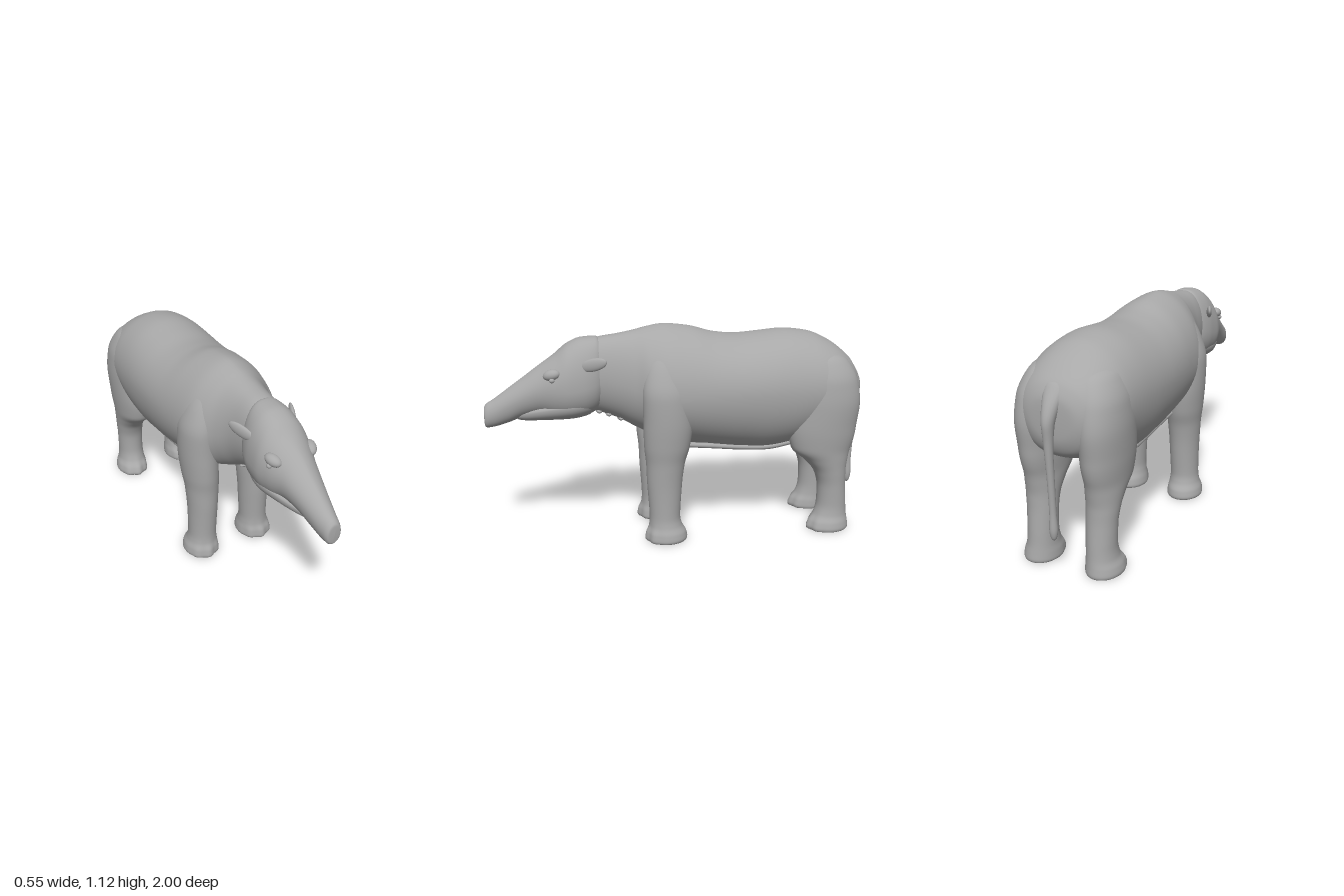
import * as THREE from 'three';

const hide = new THREE.MeshStandardMaterial({ color: 0xa8a8a8 });
hide.name = 'grey hide';

// Smooth interpolation between section rows without overshoot
function sample(rows, t) {
  const i = Math.min(Math.floor(t), rows.length - 2), f = t - i;
  const slope = (j, k) => (j < 0 || j > rows.length - 2 ? 0 : rows[j + 1][k] - rows[j][k]);
  const tangent = (j, k) => {
    const a = slope(j - 1, k), b = slope(j, k);
    if (j === 0) return b;
    if (j === rows.length - 1) return a;
    return a * b <= 0 ? 0 : (2 * a * b) / (a + b);
  };
  return rows[0].map((_, k) => {
    const p = rows[i][k], q = rows[i + 1][k], m = tangent(i, k), n = tangent(i + 1, k);
    const f2 = f * f, f3 = f2 * f;
    return p * (2 * f3 - 3 * f2 + 1) + m * (f3 - 2 * f2 + f) + q * (3 * f2 - 2 * f3) + n * (f3 - f2);
  });
}

// Skin a closed surface over the section rows
function loft(name, rows, point, steps = 6, segs = 48) {
  const pos = [], idx = [], n = (rows.length - 1) * steps;
  for (let i = 0; i <= n; i++) {
    const row = sample(rows, i / steps);
    for (let j = 0; j < segs; j++) pos.push(...point(row, (j / segs) * Math.PI * 2));
  }
  for (let i = 0; i < n; i++) {
    for (let j = 0; j < segs; j++) {
      const a = i * segs + j, b = i * segs + ((j + 1) % segs);
      idx.push(a, b, a + segs, b, b + segs, a + segs);
    }
  }
  const geo = new THREE.BufferGeometry();
  geo.setAttribute('position', new THREE.Float32BufferAttribute(pos, 3));
  geo.setIndex(idx);
  geo.computeVertexNormals();
  const mesh = new THREE.Mesh(geo, hide);
  mesh.name = name;
  return mesh;
}

const power = (v, e) => Math.sign(v) * Math.pow(Math.abs(v), e);

// Upright section, row: z, top, bottom, half width, height of widest point, roundness above and below
const upright = ([z, top, bot, w, mid, eT, eB], a) => {
  const c = Math.cos(a), s = Math.sin(a), e = s > 0 ? eT : eB;
  return [w * power(c, e), mid + (s > 0 ? top - mid : mid - bot) * s, z];
};

// Level section, row: y, x, z, radius in x, radius in z, toe scallop
const level = (side) => ([y, x, z, rx, rz, toe], a) => {
  const k = 1 + toe * Math.cos(8 * a) * Math.max(0, -Math.sin(a));
  return [side * x + rx * k * Math.cos(a), y, z - rz * k * Math.sin(a)];
};

function ellipsoid(name, size, position, direction) {
  const mesh = new THREE.Mesh(new THREE.SphereGeometry(1, 24, 16), hide);
  mesh.name = name;
  mesh.scale.set(...size);
  mesh.position.set(...position);
  if (direction) mesh.lookAt(new THREE.Vector3(...position).add(new THREE.Vector3(...direction)));
  return mesh;
}

function fold(name, points, radius) {
  const curve = new THREE.CatmullRomCurve3(points.map((p) => new THREE.Vector3(...p)));
  const mesh = new THREE.Mesh(new THREE.TubeGeometry(curve, 32, radius, 10), hide);
  mesh.name = name;
  return mesh;
}

export function createModel() {
  const model = new THREE.Group();
  model.name = 'trunked animal';

  // Trunk of the body, from rump to neck
  model.add(loft('body', [
    [-0.945, 0.79, 0.75, 0.0, 0.77, 1, 1],
    [-0.94, 0.85, 0.67, 0.10, 0.76, 0.9, 0.9],
    [-0.915, 0.91, 0.60, 0.17, 0.76, 0.9, 0.9],
    [-0.86, 0.965, 0.56, 0.225, 0.76, 0.9, 0.9],
    [-0.78, 1.02, 0.54, 0.252, 0.77, 0.95, 0.9],
    [-0.68, 1.06, 0.50, 0.265, 0.78, 1, 0.9],
    [-0.55, 1.075, 0.455, 0.272, 0.78, 1, 0.9],
    [-0.42, 1.065, 0.44, 0.275, 0.78, 1, 0.95],
    [-0.3, 1.057, 0.448, 0.274, 0.78, 1, 1],
    [-0.18, 1.07, 0.465, 0.27, 0.78, 1.05, 1],
    [-0.05, 1.105, 0.49, 0.262, 0.78, 1.15, 1],
    [0.08, 1.12, 0.52, 0.25, 0.78, 1.2, 1],
    [0.17, 1.107, 0.555, 0.215, 0.79, 1.15, 1],
    [0.24, 1.09, 0.59, 0.165, 0.81, 1, 1],
    [0.32, 1.075, 0.635, 0.132, 0.84, 0.9, 1],
    [0.42, 1.06, 0.675, 0.115, 0.86, 0.85, 1],
    [0.5, 1.02, 0.70, 0.10, 0.86, 1, 1],
    [0.52, 0.88, 0.84, 0, 0.86, 1, 1],
  ], upright, 6, 64));

  // Head tapering into the short drooping trunk
  model.add(loft('head', [
    [0.395, 0.9, 0.86, 0.0, 0.88, 1, 1],
    [0.40, 1.03, 0.74, 0.09, 0.87, 0.8, 0.9],
    [0.43, 1.066, 0.69, 0.122, 0.84, 0.8, 0.85],
    [0.5, 1.062, 0.662, 0.142, 0.82, 0.85, 0.8],
    [0.57, 1.035, 0.655, 0.145, 0.81, 0.9, 0.8],
    [0.64, 0.98, 0.66, 0.13, 0.81, 1, 0.85],
    [0.72, 0.925, 0.675, 0.10, 0.80, 1.15, 1],
    [0.8, 0.867, 0.665, 0.08, 0.77, 1.2, 1],
    [0.88, 0.81, 0.638, 0.063, 0.73, 1.15, 0.9],
    [0.95, 0.76, 0.619, 0.05, 0.69, 1, 0.9],
    [0.985, 0.738, 0.615, 0.042, 0.675, 1, 0.9],
    [0.997, 0.72, 0.625, 0.032, 0.67, 1, 1],
    [1.0, 0.68, 0.66, 0, 0.67, 1, 1],
  ], upright));

  // Lower jaw
  model.add(loft('jaw', [
    [0.44, 0.74, 0.72, 0, 0.73, 1, 1],
    [0.46, 0.78, 0.672, 0.10, 0.74, 1, 0.9],
    [0.56, 0.78, 0.65, 0.128, 0.73, 1, 0.8],
    [0.68, 0.75, 0.646, 0.098, 0.71, 1, 0.8],
    [0.78, 0.72, 0.645, 0.06, 0.69, 1, 0.8],
    [0.83, 0.70, 0.65, 0.035, 0.68, 1, 1],
    [0.85, 0.68, 0.67, 0, 0.675, 1, 1],
  ], upright));

  // Tail
  model.add(loft('tail', [
    [0.192, 0, -0.956, 0, 0, 0],
    [0.205, 0, -0.956, 0.012, 0.012, 0],
    [0.25, 0, -0.956, 0.02, 0.02, 0],
    [0.34, 0, -0.957, 0.016, 0.016, 0],
    [0.5, 0, -0.962, 0.017, 0.018, 0],
    [0.65, 0, -0.968, 0.021, 0.022, 0],
    [0.74, 0, -0.966, 0.027, 0.032, 0],
    [0.83, 0, -0.93, 0.042, 0.044, 0],
    [0.91, 0, -0.875, 0.06, 0.045, 0],
    [0.95, 0, -0.84, 0, 0, 0],
  ], level(1), 6, 20));

  for (const side of [1, -1]) {
    const s = side > 0 ? 'left' : 'right';

    // Front leg with shoulder and toed foot
    model.add(loft(s + 'FrontLeg', [
      [0.004, 0.167, 0.095, 0, 0, 0],
      [0.004, 0.167, 0.095, 0.084, 0.1, 0.04],
      [0.02, 0.167, 0.095, 0.094, 0.109, 0.045],
      [0.05, 0.166, 0.096, 0.09, 0.104, 0.04],
      [0.09, 0.162, 0.1, 0.079, 0.086, 0.01],
      [0.14, 0.16, 0.103, 0.074, 0.08, 0],
      [0.3, 0.157, 0.103, 0.078, 0.09, 0],
      [0.42, 0.157, 0.098, 0.085, 0.1, 0],
      [0.52, 0.163, 0.09, 0.092, 0.118, 0],
      [0.64, 0.17, 0.085, 0.095, 0.126, 0],
      [0.78, 0.175, 0.09, 0.09, 0.125, 0],
      [0.9, 0.155, 0.095, 0.075, 0.105, 0],
      [1.0, 0.115, 0.09, 0.055, 0.08, 0],
      [1.05, 0.09, 0.08, 0, 0, 0],
    ], level(side)));

    // Hind leg with heavy thigh
    model.add(loft(s + 'HindLeg', [
      [0.004, 0.167, -0.79, 0, 0, 0],
      [0.004, 0.167, -0.79, 0.083, 0.105, 0.04],
      [0.02, 0.167, -0.79, 0.09, 0.113, 0.045],
      [0.05, 0.165, -0.793, 0.086, 0.106, 0.04],
      [0.09, 0.16, -0.803, 0.075, 0.09, 0.01],
      [0.15, 0.158, -0.808, 0.071, 0.08, 0],
      [0.25, 0.158, -0.803, 0.073, 0.076, 0],
      [0.33, 0.16, -0.79, 0.078, 0.086, 0],
      [0.4, 0.16, -0.765, 0.086, 0.118, 0],
      [0.47, 0.16, -0.735, 0.095, 0.163, 0],
      [0.57, 0.16, -0.735, 0.105, 0.183, 0],
      [0.7, 0.16, -0.745, 0.11, 0.187, 0],
      [0.82, 0.15, -0.74, 0.11, 0.177, 0],
      [0.93, 0.125, -0.72, 0.09, 0.14, 0],
      [1.0, 0.11, -0.7, 0, 0, 0],
    ], level(side)));

    // Ear, brow and small eye
    model.add(ellipsoid(s + 'Ear', [0.014, 0.032, 0.075], [side * 0.14, 0.947, 0.452], [side * 0.045, 0.03, -0.1]));
    model.add(ellipsoid(s + 'Brow', [0.03, 0.028, 0.045], [side * 0.1, 0.895, 0.655], [side * -0.03, -0.02, 0.08]));
    model.add(ellipsoid(s + 'Eye', [0.012, 0.012, 0.014], [side * 0.122, 0.872, 0.655]));

    // Loose skin along the belly
    model.add(fold(s + 'BellyFold', [
      [side * 0.13, 0.51, 0.02], [side * 0.125, 0.492, -0.15],
      [side * 0.125, 0.475, -0.32], [side * 0.13, 0.472, -0.46], [side * 0.14, 0.5, -0.6],
    ], 0.014));
  }

  // Throat wrinkles
  [[0.42, 0.68], [0.37, 0.662], [0.31, 0.637]].forEach(([z, y], i) => {
    model.add(ellipsoid('throatWrinkle' + (i + 1), [0.055, 0.014, 0.018], [0, y, z]));
  });

  return model;
}
